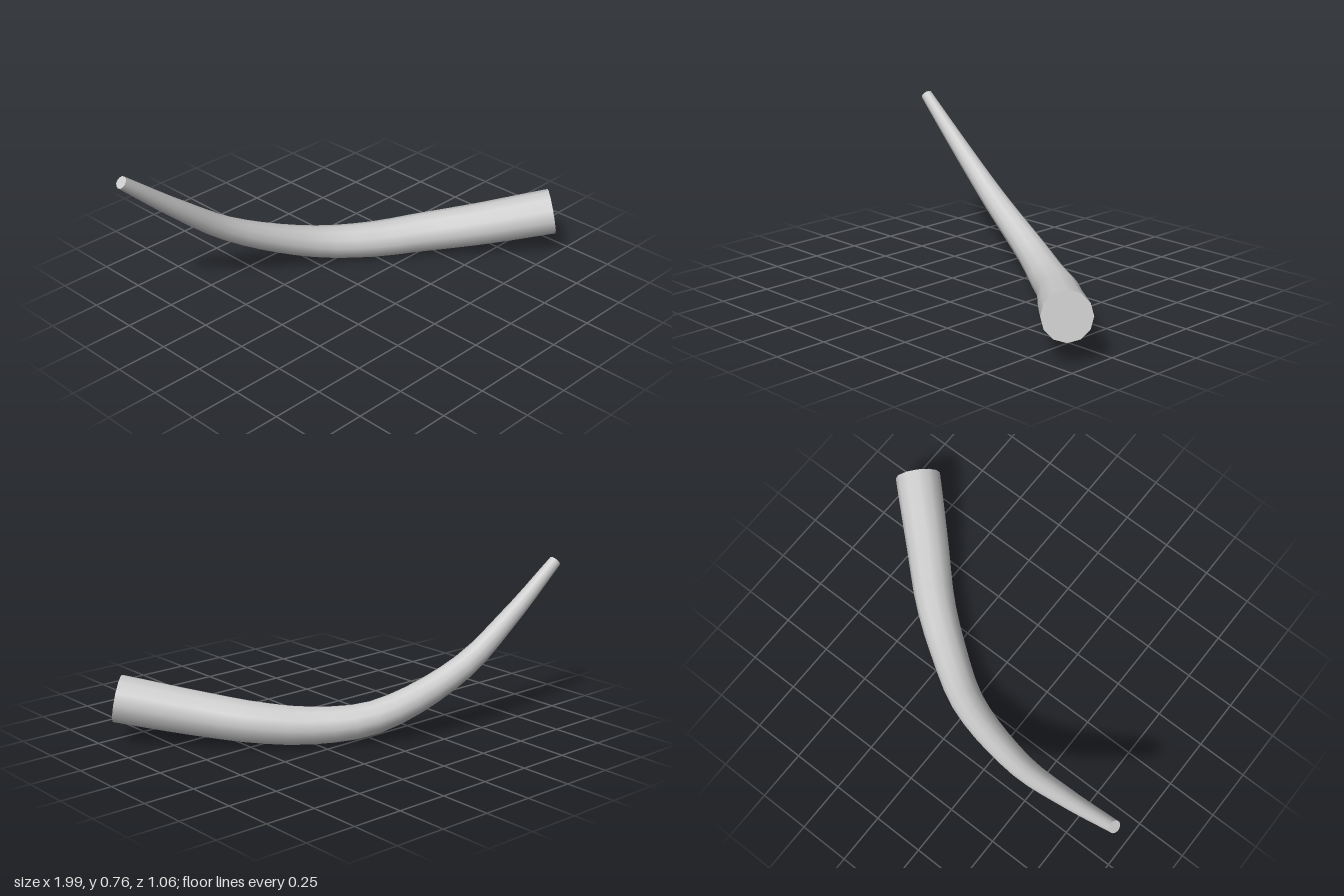
import * as THREE from 'three';

// Centre line from the thick base to the thin tip
const path = new THREE.CatmullRomCurve3([
  [0.92, 0.217, 0.447], [0.66, 0.152, 0.2], [0.45, 0.11, 0], [0.25, 0.091, -0.15],
  [0, 0.119, -0.307], [-0.4, 0.293, -0.435], [-0.7, 0.512, -0.477], [-0.976, 0.741, -0.501],
].map((p) => new THREE.Vector3(...p)), false, 'centripetal');

const radiusAt = (t) => 0.112 - 0.082 * Math.pow(t, 1.28);

// Bends a capped unit cylinder along the path while tapering it
function bentHorn(sides, rings) {
  const geometry = new THREE.CylinderGeometry(1, 1, 1, sides, rings);
  const pos = geometry.attributes.position;
  const nor = geometry.attributes.normal;
  const basis = new THREE.Matrix4();
  const v = new THREE.Vector3();
  const worldUp = new THREE.Vector3(0, 1, 0);
  for (let i = 0; i < pos.count; i++) {
    const t = THREE.MathUtils.clamp(pos.getY(i) + 0.5, 0, 1);
    const along = path.getTangentAt(t);
    const side = along.clone().cross(worldUp).normalize();
    const up = side.clone().cross(along);
    basis.makeBasis(side, along, up);
    const r = radiusAt(t);
    v.set(pos.getX(i) * r, 0, pos.getZ(i) * r).applyMatrix4(basis).add(path.getPointAt(t));
    pos.setXYZ(i, v.x, v.y, v.z);
    v.fromBufferAttribute(nor, i).applyMatrix4(basis).normalize();
    nor.setXYZ(i, v.x, v.y, v.z);
  }
  return geometry;
}

export function createModel() {
  const group = new THREE.Group();
  group.name = 'curvedHorn';
  const horn = new THREE.Mesh(
    bentHorn(12, 24),
    new THREE.MeshStandardMaterial({ color: 0xcccccc }),
  );
  horn.name = 'horn';
  group.add(horn);
  return group;
}
